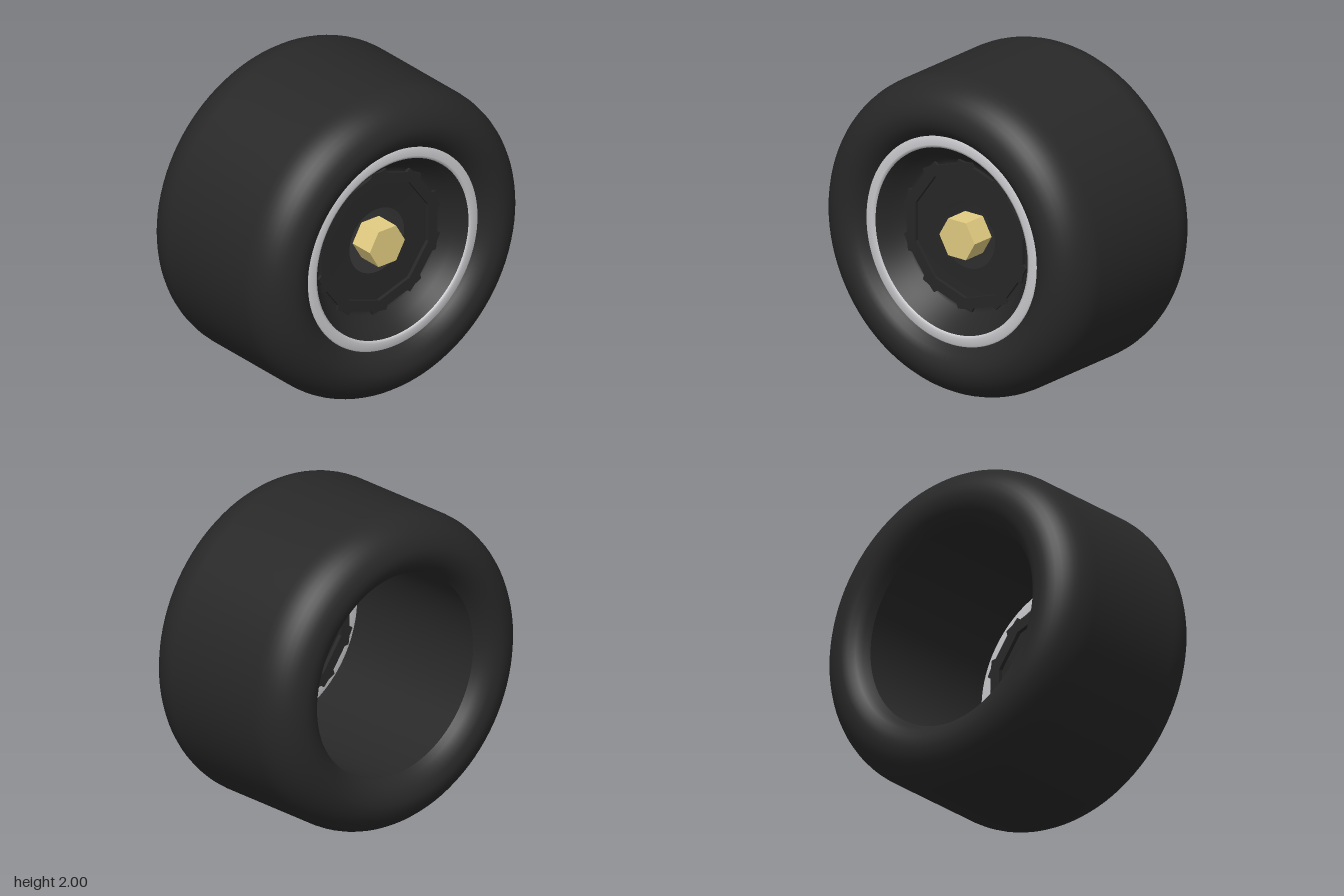
import * as THREE from 'three';

const mat = (name, color, side = THREE.FrontSide) => {
  const m = new THREE.MeshStandardMaterial({ color, side });
  m.name = name;
  return m;
};

export function createModel() {
  const rubber = mat('rubber black', 0x282828);
  const dark = mat('rim black', 0x272727, THREE.DoubleSide);
  const silver = mat('lip silver', 0xcacace);
  const brass = mat('nut brass', 0xe2cc81);

  const wheel = new THREE.Group();
  wheel.name = 'wheel';
  wheel.position.y = 1;

  const add = (name, geometry, material) => {
    const mesh = new THREE.Mesh(geometry, material);
    mesh.name = name;
    wheel.add(mesh);
    return mesh;
  };

  // Revolve [radius, x] points about the x axle
  const revolve = (points, segments = 96) =>
    new THREE.LatheGeometry(points.map(([r, x]) => new THREE.Vector2(r, x)), segments)
      .rotateZ(-Math.PI / 2);

  // Tyre: rolled inner lip, rounded shoulder and flat tread, mirrored across x = 0
  const half = [[1, 0.12]];
  for (let i = 0; i <= 10; i++) {
    const a = (i / 10) * Math.PI / 2;
    half.push([0.78 + 0.22 * Math.cos(a), 0.35 + 0.262 * Math.sin(a)]);
  }
  half.push([0.735, 0.602], [0.695, 0.578], [0.665, 0.545], [0.64, 0.505]);
  const mirrored = half.map(([r, x]) => [r, -x]).reverse();
  add('tyre', revolve([...mirrored, ...half]), rubber);

  // Inside wall of the tyre
  add('barrel', revolve([[0.64, 0.505], [0.64, -0.505]]), rubber);

  // Bright rim lip
  add('rimLip', revolve([
    [0.58, 0.5], [0.66, 0.5], [0.66, 0.52], [0.645, 0.533],
    [0.60, 0.537], [0.583, 0.53], [0.58, 0.5],
  ]), silver);

  // Dished wheel disc with a sloping wall and a flat floor, open at the hub
  add('wheelDisc', revolve([
    [0.582, 0.528], [0.53, 0.46], [0.475, 0.39], [0.44, 0.382], [0.21, 0.38],
  ]), dark);

  // Ten-toothed ring with a ten-sided opening
  const polar = (r, a) => new THREE.Vector2(r * Math.sin(a), r * Math.cos(a));
  const outline = [];
  const opening = [];
  for (let i = 0; i < 10; i++) {
    const a = (i / 10) * Math.PI * 2;
    for (const [r, d] of [[0.449, -0.14], [0.476, -0.11], [0.464, 0], [0.476, 0.11], [0.449, 0.14]]) {
      outline.push(polar(r, a + d));
    }
    opening.push(polar(0.395, a));
  }
  const ring = new THREE.Shape(outline);
  ring.holes.push(new THREE.Path(opening));
  const ringGeometry = new THREE.ExtrudeGeometry(ring, { depth: 0.05, bevelEnabled: false });
  add('toothedRing', ringGeometry.rotateY(Math.PI / 2), dark).position.x = 0.355;

  // Hexagonal axle nut
  const nut = new THREE.CylinderGeometry(0.135, 0.135, 0.16, 6).toNonIndexed();
  nut.computeVertexNormals();
  add('axleNut', nut.rotateZ(-Math.PI / 2), brass).position.x = 0.398;

  const model = new THREE.Group();
  model.name = 'wheelModel';
  model.add(wheel);
  return model;
}
